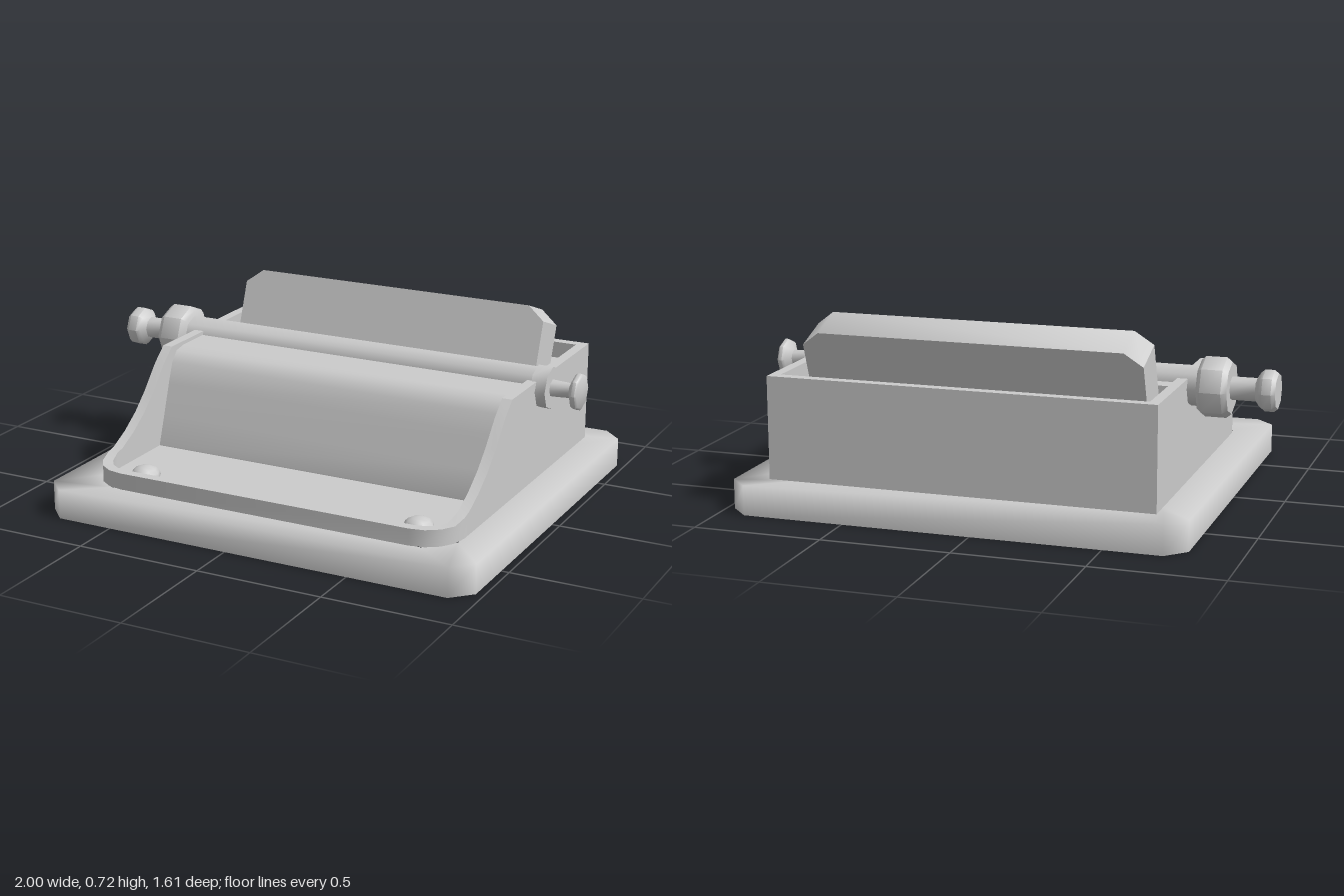
import * as THREE from 'three';
import { toCreasedNormals } from 'three/addons/utils/BufferGeometryUtils.js';

const MID = 0.085;            // the case sits off-centre because the knobs differ in length
const HALF = 0.755, WALL = 0.04, BASE_TOP = 0.115;

const grey = new THREE.MeshStandardMaterial({ color: 0xcccccc });
const greyBoth = new THREE.MeshStandardMaterial({ color: 0xcccccc, side: THREE.DoubleSide });

function part(name, geometry, material = grey) {
  const mesh = new THREE.Mesh(geometry, material);
  mesh.name = name;
  return mesh;
}

// Joins closed rings of [x, y, z] points, all of equal length
function loft(rings) {
  const n = rings[0].length, index = [];
  for (let r = 0; r < rings.length - 1; r++) {
    for (let i = 0; i < n; i++) {
      const a = r * n + i, b = r * n + (i + 1) % n;
      index.push(a, a + n, b, b, a + n, b + n);
    }
  }
  const g = new THREE.BufferGeometry();
  g.setAttribute('position', new THREE.Float32BufferAttribute(rings.flat(2), 3));
  g.setIndex(index);
  g.computeVertexNormals();
  return g;
}

// Rectangle with cut corners, as [x, z] points
function cutRect(w, d, c) {
  return [[w, -d + c], [w, d - c], [w - c, d], [-w + c, d],
    [-w, d - c], [-w, -d + c], [-w + c, -d], [w - c, -d]];
}

// Side profile of the case rim: [z, y]
const RIM = [[-0.69, 0.515], [0.12, 0.515], [0.185, 0.46], [0.27, 0.365], [0.34, 0.3],
  [0.42, 0.245], [0.5, 0.205], [0.6, 0.18], [0.7, 0.18]];

function rimHeight(z) {
  const i = Math.max(1, RIM.findIndex(p => p[0] >= z));
  const [z0, y0] = RIM[i - 1], [z1, y1] = RIM[i];
  return y0 + (y1 - y0) * (z - z0) / (z1 - z0);
}

// Plan of the case, square at the back and rounded at the front, inset by t
function casePlan(t) {
  const w = HALF - t, r = 0.15;
  const half = [[w, -0.69 + t], ...RIM.slice(1, 7).map(p => [w, p[0]])];
  for (let k = 0; k <= 4; k++) {
    const a = k / 4 * Math.PI / 2;
    half.push([HALF - r + (r - t) * Math.cos(a), 0.54 + (r - t) * Math.sin(a)]);
  }
  return [...half, ...half.map(([x, z]) => [-x, z]).reverse()];
}

function createBase() {
  const outer = cutRect(0.885, 0.805, 0.075), inner = cutRect(0.75, 0.685, 0.1);
  const at = (plan, y) => plan.map(([x, z]) => [x, y, z]);
  return part('base', loft([at(outer, 0), at(outer, BASE_TOP), at(inner, BASE_TOP)]), greyBoth);
}

function createCase() {
  const outer = casePlan(0), inner = casePlan(WALL);
  const heights = outer.map(([, z]) => rimHeight(z));
  const low = plan => plan.map(([x, z]) => [x, BASE_TOP, z]);
  const high = plan => plan.map(([x, z], i) => [x, heights[i], z]);
  const g = loft([low(outer), high(outer), high(inner), low(inner)]);
  return part('caseWall', toCreasedNormals(g, 0.6), greyBoth);
}

function createDeck() {
  const shape = new THREE.Shape(casePlan(WALL / 2).map(([x, z]) => new THREE.Vector2(x, -z)));
  const g = new THREE.ExtrudeGeometry(shape, { depth: 0.015, bevelEnabled: false });
  g.rotateX(-Math.PI / 2).translate(0, BASE_TOP, 0);
  return part('deck', g);
}

// Curved front panel and the inner top, swept across the width
function createPanel() {
  const profile = [[-0.65, BASE_TOP], [0.23, BASE_TOP], [0.23, 0.135], [0.19, 0.25], [0.15, 0.37],
    [0.12, 0.45], [0.085, 0.49], [0.03, 0.5], [-0.33, 0.5], [-0.33, 0.45], [-0.65, 0.45]];
  const shape = new THREE.Shape(profile.map(p => new THREE.Vector2(...p)));
  const width = 2 * (HALF - WALL);
  const g = new THREE.ExtrudeGeometry(shape, { depth: width, bevelEnabled: false });
  g.rotateY(-Math.PI / 2).translate(width / 2, 0, 0);
  return part('curvedPanel', toCreasedNormals(g, 0.7));
}

// Leaning paper rest with cut upper corners
function createPaperRest() {
  const w = 0.665, h = 0.218, c = 0.07, thick = 0.158;
  const shape = new THREE.Shape([[-w, -0.08], [w, -0.08], [w, h - c + 0.015], [w - c, h],
    [-w + c, h], [-w, h - c + 0.015]].map(p => new THREE.Vector2(...p)));
  const g = new THREE.ExtrudeGeometry(shape, { depth: thick, bevelEnabled: false });
  g.translate(0, 0, -thick);
  const rest = part('paperRest', toCreasedNormals(g, 0.9));
  rest.position.set(0, 0.515, -0.35);
  rest.rotation.x = -0.35;
  return rest;
}

// Turned part along x from [radius, x] pairs
function turned(name, profile) {
  const points = profile.map(([r, x]) => new THREE.Vector2(r, x));
  const g = new THREE.LatheGeometry(points, 8);
  g.rotateZ(-Math.PI / 2);
  return part(name, toCreasedNormals(g, 0.9), greyBoth);
}

function createRoller() {
  const roller = new THREE.Group();
  roller.name = 'rollerAssembly';
  roller.add(
    turned('roller', [[0, -0.71], [0.078, -0.71], [0.078, 0.82], [0.085, 0.82], [0.085, 0.88], [0, 0.88]]),
    turned('largeKnob', [[0, -0.825], [0.1, -0.825], [0.116, -0.805], [0.116, -0.725], [0.1, -0.708], [0, -0.708]]),
    turned('leftEndKnob', [[0, -1], [0.068, -1], [0.08, -0.985], [0.08, -0.95], [0.068, -0.935],
      [0.045, -0.92], [0.045, -0.82]]),
    turned('rightEndKnob', [[0.035, 0.87], [0.03, 0.955], [0.065, 0.97], [0.073, 0.98], [0.073, 0.993], [0.065, 1], [0, 1]]),
  );
  roller.position.set(0, 0.477, -0.19);
  return roller;
}

// Small dome on a front corner of the deck
function createStud(x) {
  const stud = part('deckStud', new THREE.SphereGeometry(0.06, 8, 4, 0, Math.PI * 2, 0, Math.PI / 2));
  stud.scale.y = 0.7;
  stud.position.set(x, 0.13, 0.55);
  return stud;
}

export function createModel() {
  const model = new THREE.Group();
  model.name = 'typewriter';
  const body = new THREE.Group();
  body.name = 'body';
  body.position.x = MID;
  body.add(createBase(), createCase(), createDeck(), createPanel(), createPaperRest(),
    createStud(-0.58), createStud(0.58));
  model.add(body, createRoller());
  return model;
}
